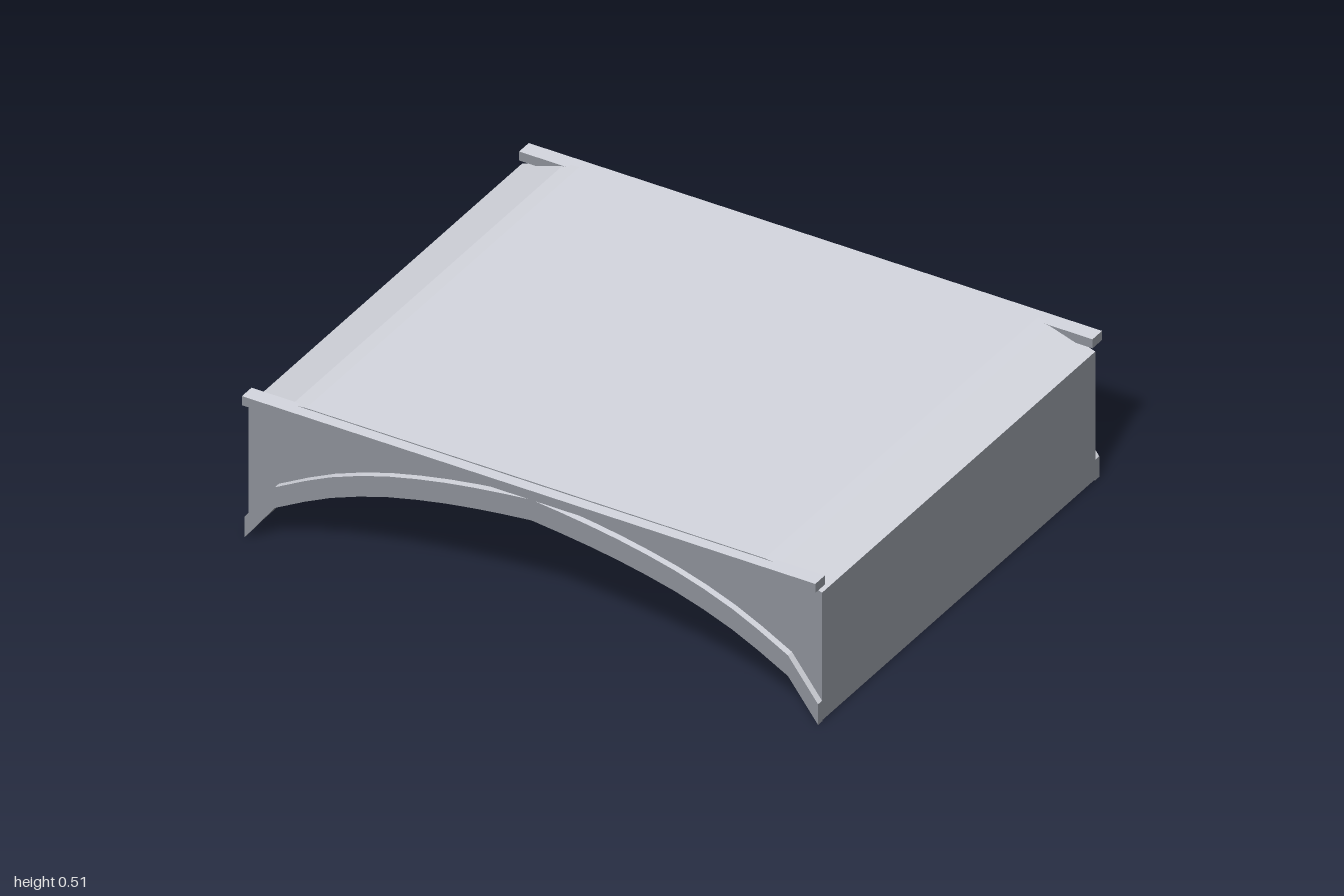
import * as THREE from 'three';

// Right half of the arch underside, from the crown to the foot
const ARCH = [[0, 0.391], [0.1, 0.38], [0.2, 0.367], [0.3, 0.351], [0.4, 0.331], [0.5, 0.307],
  [0.6, 0.276], [0.7, 0.238], [0.79, 0.195], [0.895, 0.138], [1, 0]];
// Right half of the road surface, from the end to the middle
const DECK = [[1, 0.455], [0.93, 0.479], [0.85, 0.505], [0.8, 0.51], [0, 0.511]];
const RIM_HEIGHT = 0.073;

const flip = (points) => points.map(([x, y]) => [-x, y]).reverse();
const raise = (points, dy) => points.map(([x, y]) => [x, y + dy]);

function material(name, color) {
  const result = new THREE.MeshStandardMaterial({ color });
  result.name = name;
  return result;
}

// Mesh whose upward faces take the second material, all others the first
function paintedMesh(name, source, materials) {
  const geometry = source.index ? source.toNonIndexed() : source;
  geometry.clearGroups();
  const normal = geometry.attributes.normal;
  for (let i = 0; i < normal.count; i += 3) {
    const slot = normal.getY(i) > 0.05 ? 1 : 0;
    const last = geometry.groups.at(-1);
    if (last && last.materialIndex === slot) last.count += 3;
    else geometry.addGroup(i, 3, slot);
  }
  const mesh = new THREE.Mesh(geometry, materials);
  mesh.name = name;
  return mesh;
}

// Solid with the given outline in x and y, between two depths
function slab(name, points, z0, z1, materials) {
  const shape = new THREE.Shape(points.map(([x, y]) => new THREE.Vector2(x, y)));
  const geometry = new THREE.ExtrudeGeometry(shape, { depth: z1 - z0, bevelEnabled: false });
  geometry.translate(0, 0, z0);
  return paintedMesh(name, geometry, materials);
}

export function createModel() {
  const group = new THREE.Group();
  group.name = 'archBridge';
  const materials = [material('grey stone', 0x8d9199), material('pale top surface', 0xd6d8e0)];

  // Body with the vault set slightly above the rims
  const under = [...flip(ARCH), ...ARCH.slice(1)];
  const road = [...DECK, ...flip(DECK).slice(1)];
  group.add(slab('bridgeBody', [...raise(under, 0.004), ...road], -0.782, 0.782, materials));

  // Raised arch rim and railing on each face
  const over = raise(under, RIM_HEIGHT).reverse();
  for (const side of [1, -1]) {
    const label = side > 0 ? 'front' : 'back';
    const z0 = side > 0 ? 0.78 : -0.805;
    group.add(slab(label + 'ArchRim', [...under, ...over], z0, z0 + 0.025, materials));

    const rail = paintedMesh(label + 'Rail', new THREE.BoxGeometry(2, 0.032, 0.055), materials);
    rail.position.set(0, 0.491, side * 0.7935);
    group.add(rail);
  }
  return group;
}
